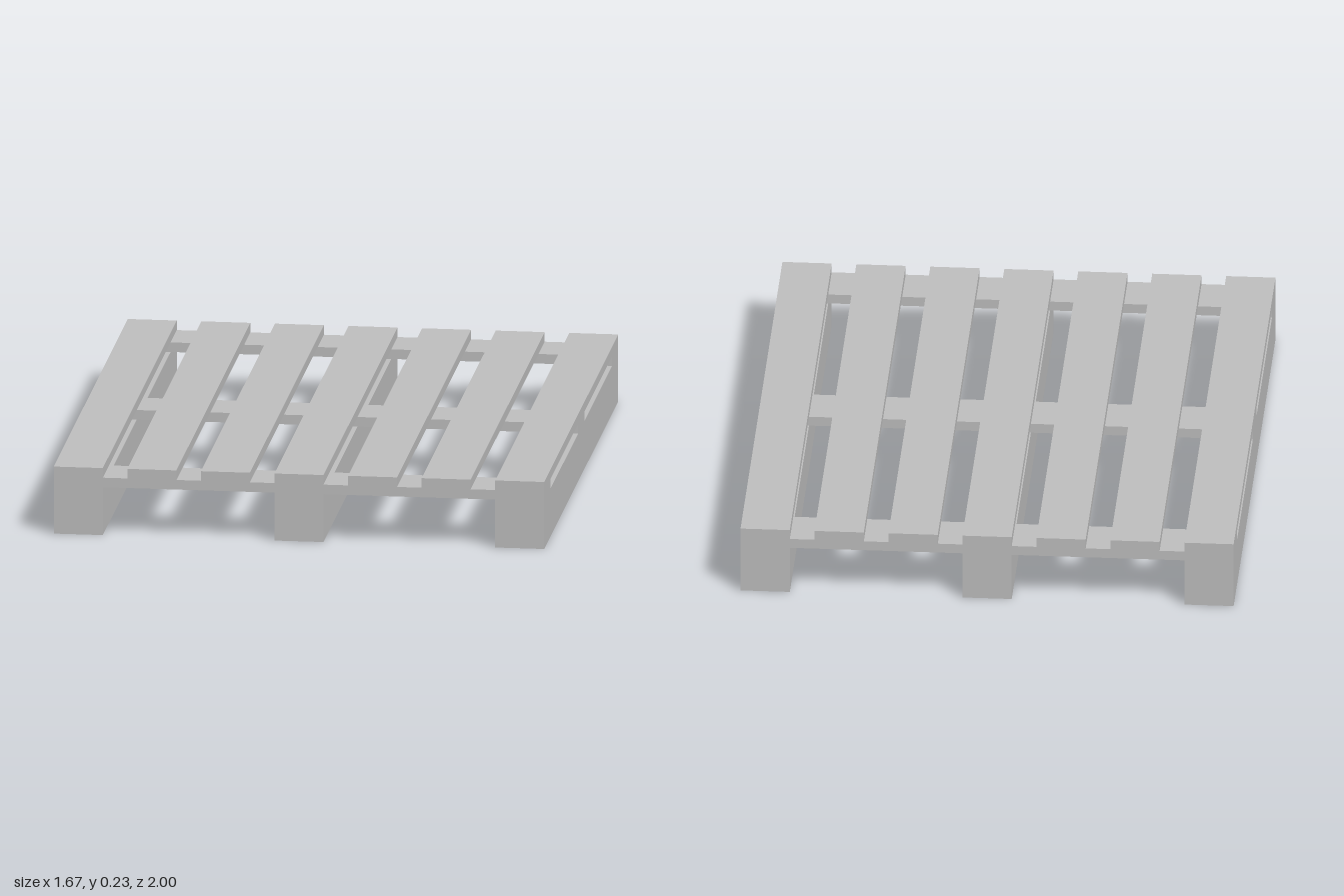
import * as THREE from 'three';

// Pallet: three bearers, three cross boards, seven deck slats
export function createModel() {
  const model = new THREE.Group();
  model.name = 'pallet';
  const grey = new THREE.MeshStandardMaterial({ color: 0xc0c0c0 });
  grey.name = 'plain grey';

  const W = 1 / 6;       // board width
  const T = 1 / 30;      // board thickness
  const H = 1 / 6;       // bearer height
  const LENGTH = 2, WIDTH = 5 / 3;

  const addBoard = (name, w, h, d, x, bottom, z) => {
    const mesh = new THREE.Mesh(new THREE.BoxGeometry(w, h, d), grey);
    mesh.name = name;
    mesh.position.set(x, bottom + h / 2, z);
    model.add(mesh);
  };

  for (let i = -1; i <= 1; i++) {
    // bearers run front to back on the ground
    addBoard(`bearer${i + 2}`, W, H, LENGTH, i * (WIDTH - W) / 2, 0, 0);
    // cross boards lie over the bearers
    addBoard(`crossBoard${i + 2}`, WIDTH, T, W, 0, H, i * (LENGTH - W) / 2);
  }

  // deck slats
  for (let i = -3; i <= 3; i++) {
    addBoard(`deckSlat${i + 4}`, W, T, LENGTH, i * 0.25, H + T, 0);
  }
  return model;
}
